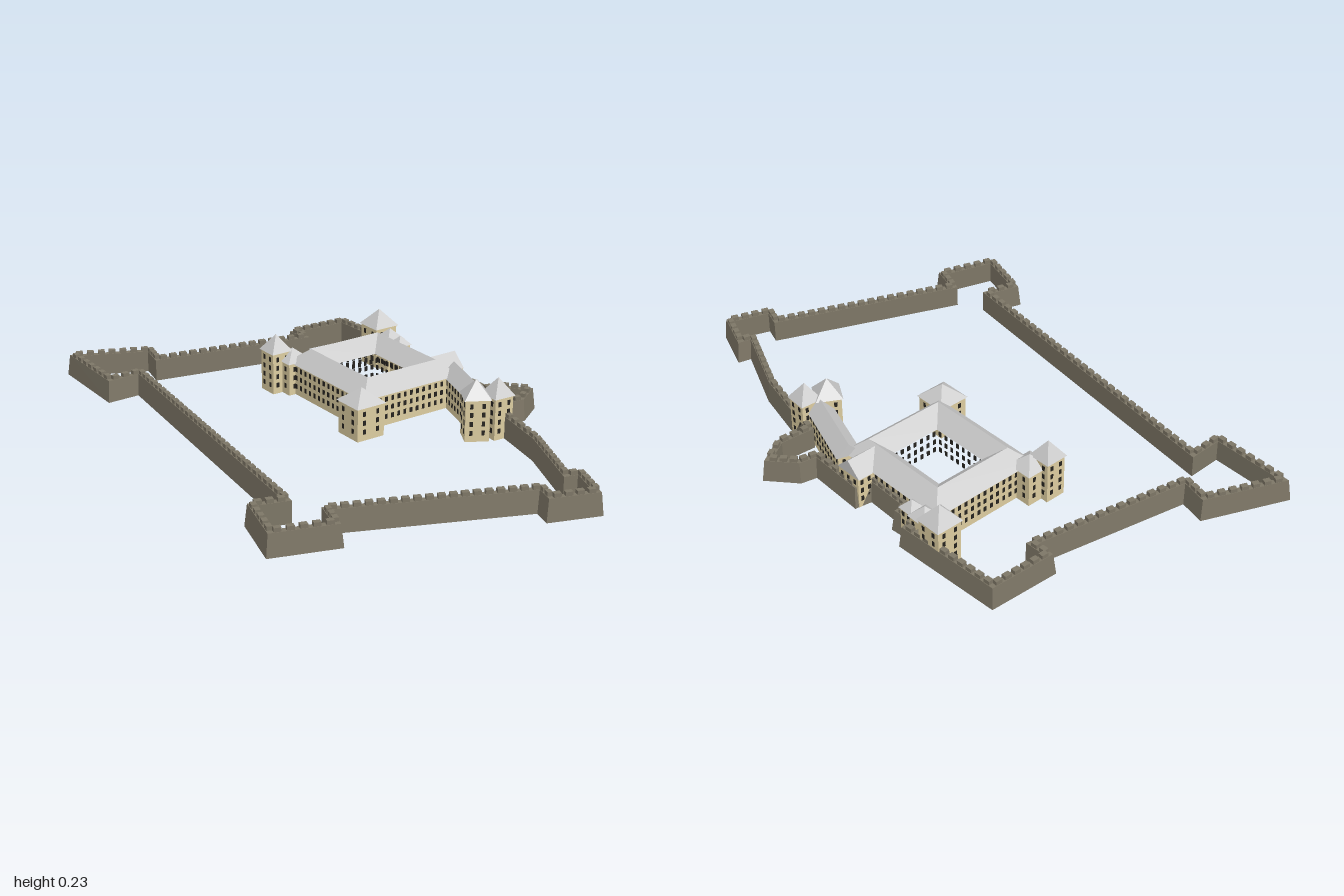
import * as THREE from 'three';
import { mergeGeometries } from 'three/addons/utils/BufferGeometryUtils.js';

const mat = (name, color, extra) => {
  const m = new THREE.MeshStandardMaterial({ color, ...extra });
  m.name = name;
  return m;
};

export function createModel() {
  const stone = mat('rampart stone', 0x7d7666);
  const plaster = mat('cream plaster', 0xdccca0);
  const slate = mat('grey slate', 0xc8c8c8);
  const glass = mat('dark windows', 0x25231f);
  const root = new THREE.Group();
  root.name = 'fortress';

  const add = (parent, name, geo, material) => {
    const m = new THREE.Mesh(geo, material);
    m.name = name;
    parent.add(m);
    return m;
  };

  // Skins a closed chain of equal-length point loops with flat quads
  const loft = (loops) => {
    const pos = [];
    loops.forEach((a, k) => {
      const b = loops[(k + 1) % loops.length];
      a.forEach((p, i) => {
        const j = (i + 1) % a.length;
        for (const q of [p, b[i], b[j], p, b[j], a[j]]) pos.push(...q);
      });
    });
    const g = new THREE.BufferGeometry();
    g.setAttribute('position', new THREE.Float32BufferAttribute(pos, 3));
    g.computeVertexNormals();
    return g;
  };

  // Rampart: mitred wall with a battered outer face
  const path = [
    [-0.91, -0.63], [-0.61, -0.675], [-0.575, -0.572], [0.022, -0.80], [-0.02, -0.862],
    [0.187, -0.978], [0.42, -0.64], [0.385, -0.61], [0.43, -0.55], [0.40, -0.53],
    [0.50, -0.36], [0.56, -0.386], [0.673, -0.19], [0.741, -0.215], [0.845, -0.183],
    [0.80, -0.09], [0.685, -0.03], [0.72, 0.07], [0.794, 0.286], [0.842, 0.598],
    [0.892, 0.582], [0.922, 0.73], [0.76, 0.767], [0.742, 0.695], [0.013, 0.815],
    [0.04, 0.92], [-0.175, 0.974], [-0.23, 0.774], [-0.113, 0.742], [-0.64, -0.434], [-0.752, -0.36],
  ];
  const dirTo = (i) => {
    const a = path[i], b = path[(i + 1) % path.length];
    const len = Math.hypot(b[0] - a[0], b[1] - a[1]);
    return { x: (b[0] - a[0]) / len, z: (b[1] - a[1]) / len, len };
  };
  const offset = (d, y) => path.map((p, i) => {
    const e = dirTo((i + path.length - 1) % path.length), f = dirTo(i);
    const nx = e.z + f.z, nz = -e.x - f.x, l = Math.hypot(nx, nz);
    const s = d * Math.min(1.6, 2 / l) / l;
    return [p[0] + nx * s, y, p[1] + nz * s];
  });
  const wallTop = 0.085;
  add(root, 'rampart', loft([offset(0.02, 0), offset(0.012, wallTop), offset(-0.012, wallTop), offset(-0.012, 0)]), stone);

  // Merlons along every stretch of the rampart
  const merlons = [];
  path.forEach((p, i) => {
    const d = dirTo(i), n = Math.max(1, Math.round(d.len / 0.042));
    for (let k = 0; k < n; k++) {
      const t = (k + 0.5) * d.len / n;
      merlons.push(new THREE.BoxGeometry(0.026, 0.016, 0.02).rotateY(Math.atan2(-d.z, d.x))
        .translate(p[0] + d.x * t, wallTop + 0.007, p[1] + d.z * t));
    }
  });
  add(root, 'merlons', mergeGeometries(merlons), stone);

  // Rows of window plates on a wall running from a to b
  const windows = (parent, name, a, b, rows, pitch = 0.028) => {
    const dx = b[0] - a[0], dz = b[1] - a[1], len = Math.hypot(dx, dz);
    const n = Math.max(1, Math.round(len / pitch) - 1), parts = [];
    for (const y of rows) for (let k = 0; k < n; k++) {
      const t = (k + 0.5) / n;
      parts.push(new THREE.BoxGeometry(0.012, 0.019, 0.003).rotateY(Math.atan2(-dz, dx))
        .translate(a[0] + dx * t, y, a[1] + dz * t));
    }
    add(parent, name, mergeGeometries(parts), glass);
  };
  const rect = (x0, x1, z0, z1) => [[x0, z0], [x1, z0], [x1, z1], [x0, z1]];
  const boxWindows = (parent, w, d, rows, pitch) => {
    const c = rect(-w / 2, w / 2, -d / 2, d / 2);
    c.forEach((p, i) => windows(parent, 'windows', p, c[(i + 1) % 4], rows, pitch));
  };

  // Square tower with a pyramid roof
  const tower = (parent, name, x, z, s, turn, eave, apex) => {
    const g = new THREE.Group();
    g.name = name;
    g.position.set(x, 0, z);
    g.rotation.y = turn;
    parent.add(g);
    add(g, 'towerWalls', new THREE.BoxGeometry(s, eave, s).translate(0, eave / 2, 0), plaster);
    const roof = new THREE.ConeGeometry((s + 0.012) * Math.SQRT1_2, apex - eave, 4, 1).toNonIndexed();
    roof.computeVertexNormals();
    add(g, 'towerRoof', roof.rotateY(Math.PI / 4).translate(0, (apex + eave) / 2, 0), slate);
    boxWindows(g, s, s, eave > 0.15 ? [0.035, 0.07, 0.105, 0.14] : [0.035, 0.07, 0.105], s / 3);
  };

  // Wing with a ridge roof along its local z axis
  const wing = (parent, name, x, z, w, len, turn, eave, ridge) => {
    const g = new THREE.Group();
    g.name = name;
    g.position.set(x, 0, z);
    g.rotation.y = turn;
    parent.add(g);
    add(g, 'wingWalls', new THREE.BoxGeometry(w, eave, len).translate(0, eave / 2, 0), plaster);
    const h = w / 2 + 0.006;
    const gable = new THREE.Shape([new THREE.Vector2(-h, eave), new THREE.Vector2(h, eave), new THREE.Vector2(0, ridge)]);
    add(g, 'wingRoof', new THREE.ExtrudeGeometry(gable, { depth: len, bevelEnabled: false }).translate(0, 0, -len / 2), slate);
    boxWindows(g, w, len, [0.035, 0.07, 0.105]);
  };

  // Palace: four wings around a courtyard
  const palace = new THREE.Group();
  palace.name = 'palace';
  palace.position.set(0.264, 0, -0.323);
  palace.rotation.y = 0.56;
  root.add(palace);
  const eave = 0.125, ridge = 0.183;
  const outer = rect(-0.22, 0.22, -0.25, 0.235);
  const inner = rect(-0.105, 0.105, -0.13, 0.118);
  const flat = (pts) => pts.map(([x, z]) => new THREE.Vector2(x, -z));
  const plan = new THREE.Shape(flat(outer));
  plan.holes.push(new THREE.Path(flat(inner)));
  add(palace, 'palaceWalls', new THREE.ExtrudeGeometry(plan, { depth: eave, bevelEnabled: false }).rotateX(-Math.PI / 2), [slate, plaster]);
  const lift = (pts, y) => pts.map(([x, z]) => [x, y, z]);
  add(palace, 'palaceRoof', loft([
    lift(rect(-0.228, 0.228, -0.258, 0.243), eave),
    lift(rect(-0.162, 0.162, -0.19, 0.176), ridge),
    lift(rect(-0.099, 0.099, -0.124, 0.112), eave),
  ]), slate);
  for (const [name, ring] of [['outerWindows', outer], ['courtyardWindows', inner]])
    ring.forEach((p, i) => windows(palace, name, p, ring[(i + 1) % 4], [0.035, 0.07, 0.105]));

  // Corner towers and pavilions of the palace
  tower(palace, 'northWestTower', -0.252, -0.30, 0.082, 0, 0.165, 0.23);
  tower(palace, 'northWestPavilion', -0.2, -0.262, 0.10, 0, 0.13, 0.175);
  tower(palace, 'northEastTower', 0.255, -0.305, 0.10, 0, 0.165, 0.23);
  tower(palace, 'northEastPavilion', 0.25, -0.225, 0.075, 0, 0.13, 0.172);
  tower(palace, 'eastTurret', 0.25, -0.157, 0.055, 0, 0.125, 0.16);
  tower(palace, 'southWestTower', -0.242, 0.246, 0.12, 0, 0.13, 0.186);
  wing(palace, 'eastPavilion', 0.225, 0.135, 0.105, 0.13, Math.PI / 2, 0.124, 0.178);

  // Long wing leading to the twin gate towers
  wing(root, 'southEastWing', 0.605, -0.105, 0.085, 0.33, 0.24, 0.122, 0.172);
  tower(root, 'gateTowerRight', 0.605, 0.066, 0.09, 0.05, 0.163, 0.23);
  tower(root, 'gateTowerLeft', 0.688, 0.052, 0.08, 0.5, 0.163, 0.23);

  return root;
}
